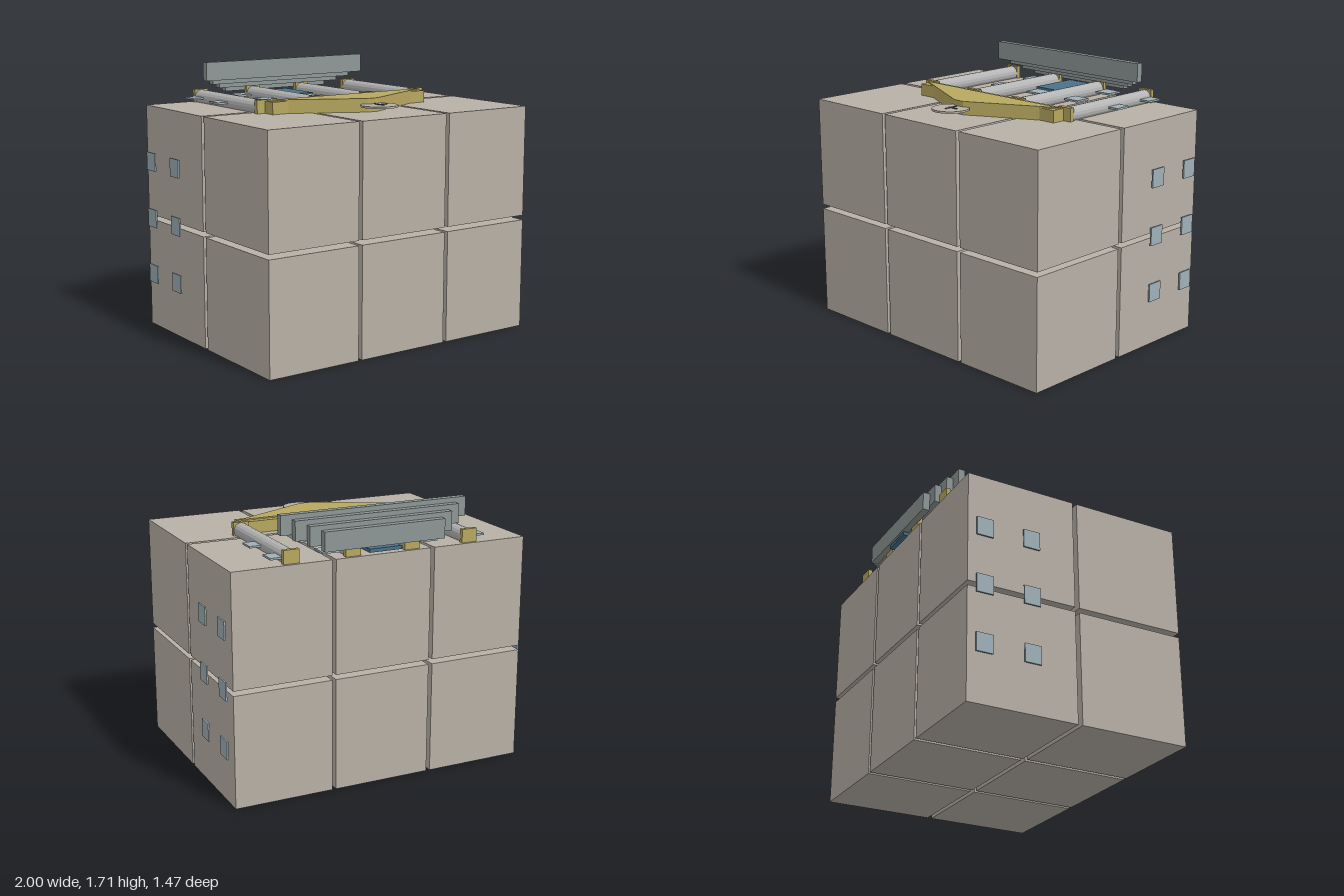
import * as THREE from 'three';

const material = (color, flatShading = false) => new THREE.MeshStandardMaterial({ color, flatShading });
const stone = material(0xb8b0a6);
const gold = material(0xb8a860);
const columnGrey = material(0xb4b4b4, true);
const stepGrey = material(0x8e9896);
const glass = material(0x9fb0b8);
const doorBlue = material(0x4a728a);
const dark = material(0x4c5c66);

export function createModel() {
  const model = new THREE.Group();

  function add(name, geometry, mat, x = 0, y = 0, z = 0) {
    const mesh = new THREE.Mesh(geometry, mat);
    mesh.name = name;
    mesh.position.set(x, y, z);
    model.add(mesh);
    return mesh;
  }
  // Box given by its lower and upper limits on each axis
  function box(name, mat, [x0, x1], [y0, y1], [z0, z1]) {
    return add(name, new THREE.BoxGeometry(x1 - x0, y1 - y0, z1 - z0), mat,
      (x0 + x1) / 2, (y0 + y1) / 2, (z0 + z1) / 2);
  }
  const around = (c, half) => [c - half, c + half];

  // Body: 3 x 2 x 2 stone blocks with narrow open gaps
  for (const x of [-0.656, -0.001, 0.654])
    for (const y of [0.354, 1.092])
      for (const z of [0.38, -0.359])
        box('stoneBlock', stone, around(x, 0.315), around(y, 0.354), around(z, 0.355));

  // Columns lying on the top, with capitals and bases
  for (const x of [-0.592, -0.197, 0.193, 0.588]) {
    const column = add('column', new THREE.CylinderGeometry(0.048, 0.048, 0.76, 16), columnGrey, x, 1.478, -0.295);
    column.rotation.x = Math.PI / 2;
    box('capital', gold, around(x, 0.05), [1.43, 1.53], [0.07, 0.1]);
    box('columnBase', gold, around(x, 0.05), [1.43, 1.53], [-0.695, -0.667]);
  }

  // Architrave and pediment with a blunt apex
  box('architrave', gold, [-0.587, 0.583], [1.42, 1.522], [0.087, 0.188]);
  const gable = new THREE.Shape([[-0.587, -0.13], [-0.04, -0.408], [0.036, -0.408], [0.583, -0.13]]
    .map(([x, y]) => new THREE.Vector2(x, y)));
  const pediment = add('pediment', new THREE.ExtrudeGeometry(gable, { depth: 0.21, bevelEnabled: false }), gold, 0, 1.32, 0);
  pediment.rotation.x = -Math.PI / 2;

  // Entrance steps, each narrower and lower towards the back
  for (let i = 0; i < 4; i++) {
    const z = -0.556 - i * 0.0445;
    box('step', stepGrey, around(-0.001, 0.614 - i * 0.0725), [1.59 - i * 0.03, 1.71 - i * 0.03], [z - 0.0445, z]);
  }

  // Door
  box('door', doorBlue, [-0.107, 0.105], [1.465, 1.487], [-0.73, -0.4]);

  // Windows over the top and on both sides
  for (const z of [-0.307, -0.615]) {
    for (const x of [-0.656, -0.329, -0.002, 0.325, 0.652])
      if (x !== -0.002 || z > -0.5)
        box('topWindow', glass, around(x, 0.057), [1.473, 1.485], around(z, 0.054));
    for (const x of [-0.996, 0.994])
      for (const y of [0.358, 0.725, 1.093])
        box('sideWindow', glass, around(x, 0.005), around(y, 0.058), around(z, 0.054));
  }

  // Clock disc and its hands
  add('clockFace', new THREE.CylinderGeometry(0.116, 0.116, 0.012, 32), stone, -0.002, 1.489, 0.477);
  box('clockLongHand', dark, around(-0.002, 0.004), [1.49, 1.5], [0.428, 0.522]);
  box('clockShortHand', dark, [-0.016, 0.056], [1.49, 1.5], around(0.477, 0.004));

  return model;
}
